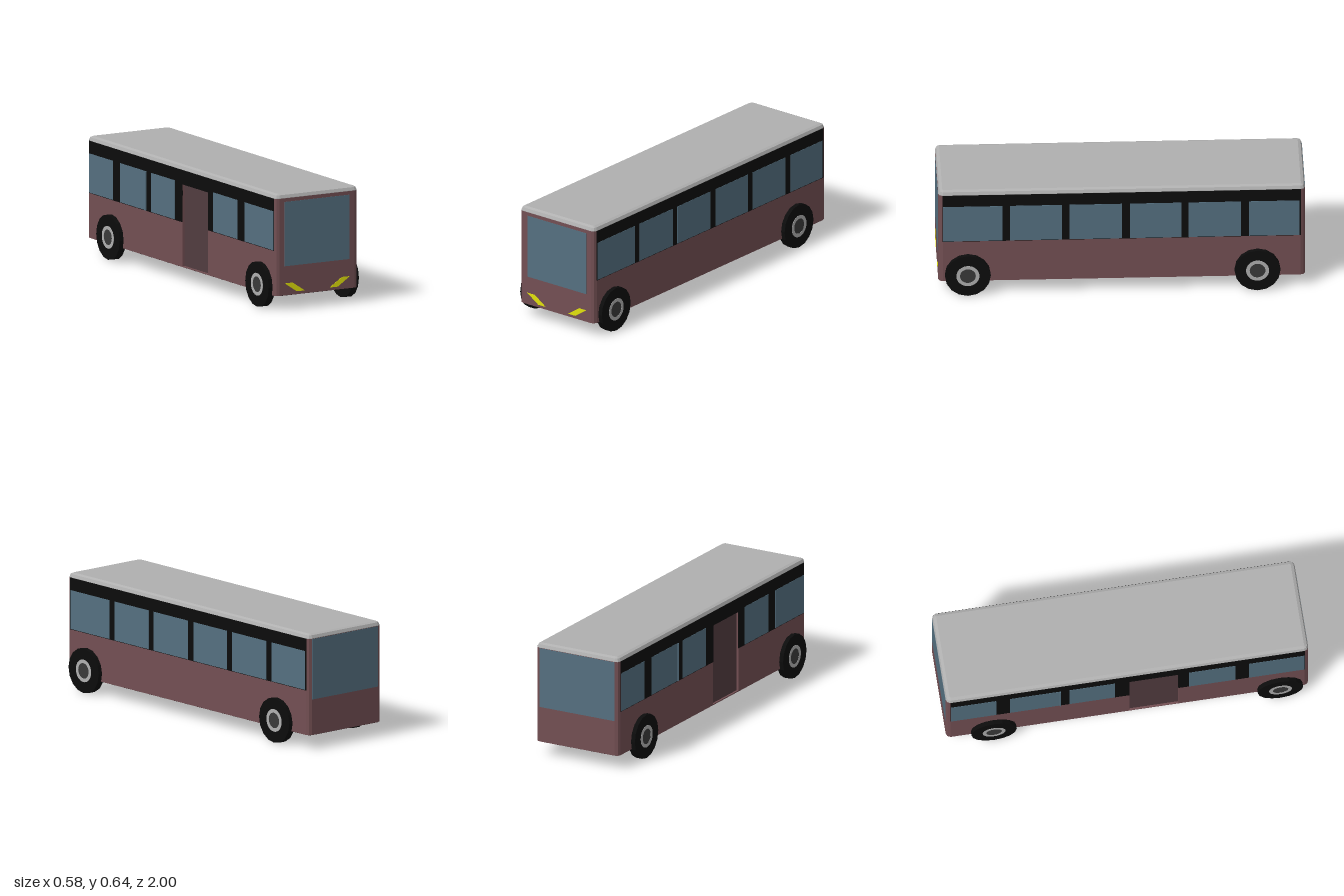
import * as THREE from 'three';

const HX = 0.262, HZ = 1, FLOOR = 0.08, EAVE = 0.62;
const mat = (color) => new THREE.MeshStandardMaterial({ color, flatShading: true });

export function createModel() {
  const bus = new THREE.Group();
  const red = mat(0x734f53), black = mat(0x0c0c0c), glass = mat(0x557080);
  const grey = mat(0xb0b0b0), yellow = mat(0xe2e20c), dark = mat(0x3a3a3a);
  const doorRed = mat(0x523c40);

  const add = (name, geometry, material, parent = bus) => {
    const mesh = new THREE.Mesh(geometry, material);
    mesh.name = name;
    parent.add(mesh);
    return mesh;
  };

  // Box given by its limits on each axis
  const block = (name, material, [x0, x1], [y0, y1], [z0, z1]) => {
    const mesh = add(name, new THREE.BoxGeometry(x1 - x0, y1 - y0, z1 - z0), material);
    mesh.position.set((x0 + x1) / 2, (y0 + y1) / 2, (z0 + z1) / 2);
    return mesh;
  };

  // Thin panel on a side wall: s = 1 is the left side, s = -1 the right
  const sidePanel = (name, material, s, y, [z0, z1], out) => {
    const x = [s * (HX - 0.004), s * (HX + out)].sort((a, b) => a - b);
    return block(name, material, x, y, [z0, z1]);
  };

  // Plan outline with bevelled corners; shape y is -z. The notch is the doorway.
  const door = [0.01, 0.28], recess = 0.014;
  const plan = (hx, hz, r, notch) => {
    const k = r * 0.3;
    const pts = [
      [hx - r, -hz], [hx - k, -hz + k], [hx, -hz + r],
      [hx, hz - r], [hx - k, hz - k], [hx - r, hz],
      [-hx + r, hz], [-hx + k, hz - k], [-hx, hz - r],
    ];
    if (notch) {
      pts.push([-hx, -door[0]], [-hx + recess, -door[0]], [-hx + recess, -door[1]], [-hx, -door[1]]);
    }
    pts.push([-hx, -hz + r], [-hx + k, -hz + k], [-hx + r, -hz]);
    return new THREE.Shape(pts.map(([x, y]) => new THREE.Vector2(x, y)));
  };
  const slab = (name, material, shape, y, options) => {
    const geometry = new THREE.ExtrudeGeometry(shape, { bevelEnabled: false, ...options });
    geometry.rotateX(-Math.PI / 2);
    add(name, geometry, material).position.y = y;
  };

  // Body shell, floor and roof
  slab('underside', black, plan(HX - 0.002, HZ - 0.002, 0.024), FLOOR, { depth: 0.002 });
  slab('sill', red, plan(HX, HZ, 0.024), FLOOR + 0.001, { depth: 0.006 });
  slab('lowerBody', red, plan(HX, HZ, 0.024, true), FLOOR + 0.007, { depth: 0.54 - FLOOR - 0.007 });
  slab('upperBody', red, plan(HX, HZ, 0.024), 0.54, { depth: EAVE - 0.54 });
  slab('roof', grey, plan(HX - 0.022, HZ - 0.022, 0.006), EAVE, {
    depth: 0.002, bevelEnabled: true, bevelSize: 0.022, bevelThickness: 0.023, bevelSegments: 2,
  });

  // Black window bands and side windows
  const end = HZ - 0.022;
  const band = [0.33, EAVE], pane = [0.333, 0.55];
  sidePanel('leftWindowBand', black, 1, band, [-end, end], 0.0015);
  sidePanel('rightRearWindowBand', black, -1, band, [-end, door[0]], 0.0015);
  sidePanel('rightFrontWindowBand', black, -1, band, [door[1], end], 0.0015);
  sidePanel('doorHeader', black, -1, [0.54, EAVE], door, 0.0015);
  const leftWindows = [[0.65, 0.975], [0.325, 0.61], [0, 0.285], [-0.325, -0.045], [-0.65, -0.365], [-0.97, -0.695]];
  const rightWindows = [[0.67, 0.975], [0.34, 0.595], [-0.32, -0.07], [-0.65, -0.375], [-0.975, -0.725]];
  for (const z of leftWindows) sidePanel('leftWindow', glass, 1, pane, [Math.min(...z), Math.max(...z)], 0.003);
  for (const z of rightWindows) sidePanel('rightWindow', glass, -1, pane, z, 0.003);
  sidePanel('windowRail', glass, -1, pane, [-0.375, -0.368], 0.01);

  // Recessed door
  block('door', doorRed, [-HX + recess - 0.003, -HX + recess + 0.002], [FLOOR + 0.007, 0.54], door);

  // Windscreen, rear window and headlights
  block('windscreen', glass, [-0.206, 0.206], [0.243, 0.6], [HZ - 0.005, HZ + 0.0015]);
  block('rearWindow', glass, [-0.238, 0.238], [0.28, EAVE - 0.002], [-HZ - 0.0015, -HZ + 0.005]);
  for (const s of [1, -1]) {
    const lamp = new THREE.Shape([[0.207, 0.148], [0.156, 0.148], [0.079, 0.097], [0.13, 0.097]]
      .map(([x, y]) => new THREE.Vector2(s * x, y)));
    add(s > 0 ? 'leftHeadlight' : 'rightHeadlight',
      new THREE.ExtrudeGeometry(lamp, { depth: 0.004, bevelEnabled: false }), yellow).position.z = HZ - 0.002;
  }

  // Wheels: tyre, rim ring and hub, built along +x and turned for the right side
  const disc = (r, h) => new THREE.CylinderGeometry(r, r, h, 16).rotateZ(-Math.PI / 2);
  for (const s of [1, -1]) {
    for (const z of [0.84, -0.74]) {
      const wheel = new THREE.Group();
      wheel.name = (s > 0 ? 'left' : 'right') + (z > 0 ? 'Front' : 'Rear') + 'Wheel';
      add('tyre', disc(0.125, 0.04), black, wheel);
      const ring = new THREE.Shape().absarc(0, 0, 0.063, 0, Math.PI * 2);
      ring.holes.push(new THREE.Path().absarc(0, 0, 0.043, 0, Math.PI * 2, true));
      const rim = new THREE.ExtrudeGeometry(ring, { depth: 0.003, bevelEnabled: false, curveSegments: 16 });
      add('rim', rim.rotateY(Math.PI / 2), grey, wheel).position.x = 0.0185;
      add('hub', disc(0.044, 0.002), dark, wheel).position.x = 0.0195;
      wheel.position.set(s * 0.2665, 0.125, z);
      if (s < 0) wheel.rotation.y = Math.PI;
      bus.add(wheel);
    }
  }
  return bus;
}
